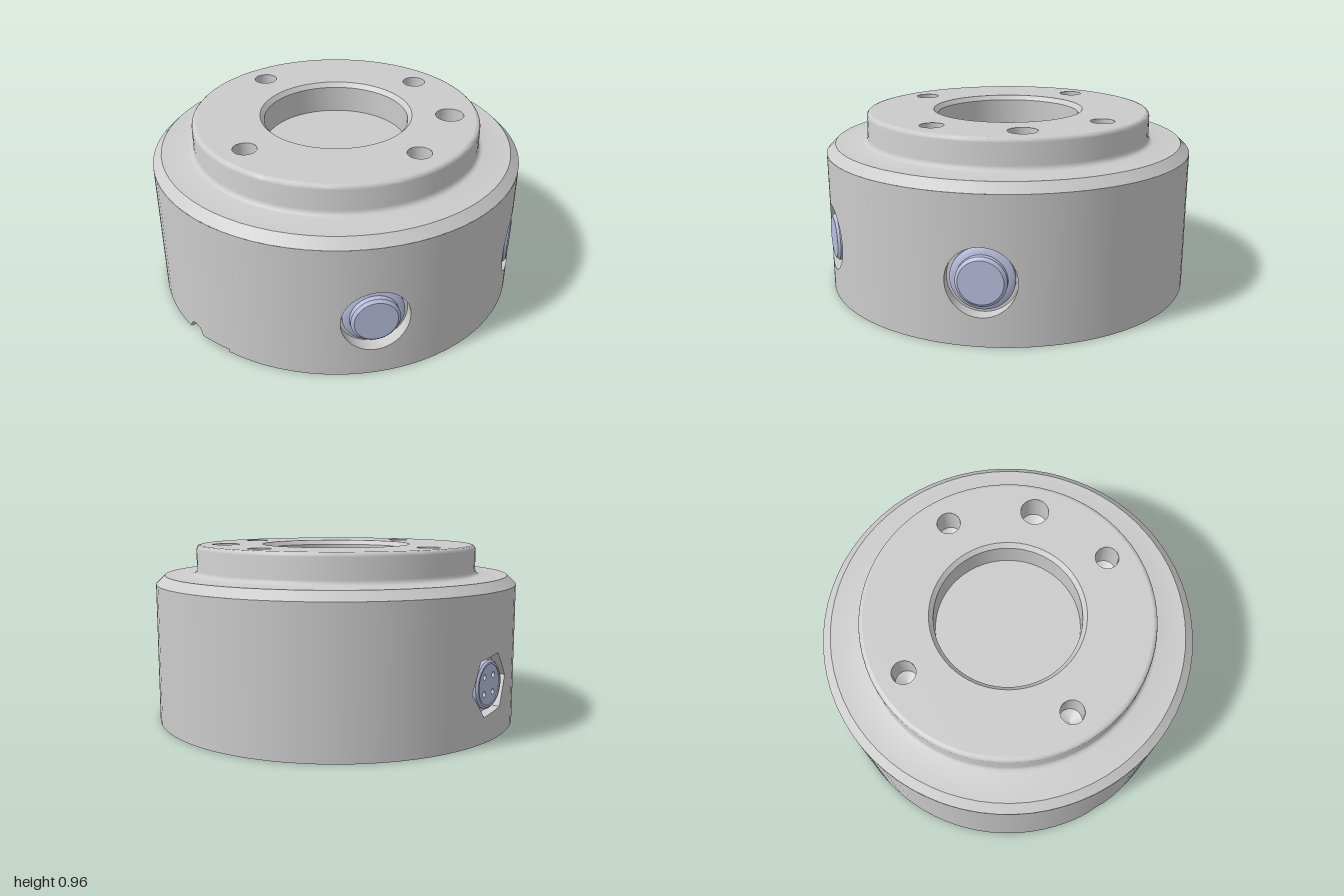
import * as THREE from 'three';
import { toCreasedNormals, mergeGeometries } from 'three/addons/utils/BufferGeometryUtils.js';

const grey = new THREE.MeshStandardMaterial({ color: 0xcccccc });
const greyThin = new THREE.MeshStandardMaterial({ color: 0xcccccc, side: THREE.DoubleSide });
const blue = new THREE.MeshStandardMaterial({ color: 0xb8bedd });
const dark = new THREE.MeshStandardMaterial({ color: 0x666a80 });

const WALL = 0.755;         // height of the outer wall
const HALF = 0.25;          // half width of a wall patch
const FLOOR = 0.035;        // underside of the base plate
const PLATE = 0.045;        // thickness of the base plate
const CEILING = 0.57;       // top of the inner cavity
const CHANNEL = 0.052;      // radius of the cable channel
const rad = THREE.MathUtils.degToRad;
const v2 = (p) => new THREE.Vector2(p[0], p[1]);
// point in a shape lying in the ground plane, azimuth measured from the front
const polar = (r, a) => new THREE.Vector2(r * Math.sin(a), -r * Math.cos(a));

function add(parent, name, geometry, material = grey) {
  const mesh = new THREE.Mesh(geometry, material);
  mesh.name = name;
  parent.add(mesh);
  return mesh;
}

function turned(points, segments = 72, start = 0, length = Math.PI * 2) {
  const g = new THREE.LatheGeometry(points.map(v2), segments, start, length);
  return toCreasedNormals(g, rad(35));
}

function circle(x, y, r) {
  return new THREE.Path().absarc(x, y, r, 0, Math.PI * 2, true);
}

// skin over rings of equal length, running outward and counter-clockwise
function loft(rings) {
  const n = rings[0].length, index = [];
  for (let k = 0; k < rings.length - 1; k++) {
    for (let i = 0; i < n - 1; i++) {
      const a = k * n + i, b = a + n;
      index.push(a, b, b + 1, a, b + 1, a + 1);
    }
  }
  const g = new THREE.BufferGeometry();
  g.setAttribute('position', new THREE.Float32BufferAttribute(rings.flat(2), 3));
  g.setIndex(index);
  g.computeVertexNormals();
  return g;
}

// piece of the cylinder wall around an opening of radius(angle)
function wallPatch(parent, name, azimuth, cy, radius, sweep, depth) {
  const group = new THREE.Group();
  group.name = name;
  group.rotation.y = azimuth;
  parent.add(group);
  const angles = [];
  for (let d = 0; d <= sweep; d += 4) angles.push(rad(d));
  for (const x of [-HALF, HALF]) for (const y of [-cy, WALL - cy]) {
    const a = (Math.atan2(y, x) + Math.PI * 2) % (Math.PI * 2);
    if (a > 0.01 && a < rad(sweep) - 0.01) angles.push(a);
  }
  angles.sort((a, b) => a - b);
  const ring = (k) => angles.map((a) => {
    const c = Math.cos(a), s = Math.sin(a);
    const toX = HALF / Math.max(Math.abs(c), 1e-6);
    const toY = (s > 0 ? WALL - cy : cy) / Math.max(Math.abs(s), 1e-6);
    const r = THREE.MathUtils.lerp(radius(a), Math.min(toX, toY), k);
    return [r * c, cy + r * s, Math.sqrt(1 - (r * c) ** 2)];
  });
  const skin = loft([0, 0.2, 0.4, 0.6, 0.8, 1].map(ring));
  const p = skin.attributes.position;
  for (let i = 0; i < p.count; i++) skin.attributes.normal.setXYZ(i, p.getX(i), 0, p.getZ(i));
  add(group, 'wallAroundOpening', skin);
  if (depth) {
    const rim = ring(0);
    const floor = rim.map(([x, y]) => [x, y, depth]);
    const centre = rim.map(() => [0, cy, depth]);
    add(group, 'pocket', toCreasedNormals(loft([centre, floor, rim]), rad(30)));
  }
  return group;
}

// turned part lying along the radial direction of its group
function radialPart(parent, name, profile, cy) {
  const g = turned(profile, 48);
  g.rotateX(Math.PI / 2);
  g.translate(0, cy, 0);
  return add(parent, name, g, blue);
}

function contactPins(parent, cy, depth) {
  for (let i = 0; i < 4; i++) {
    const a = i * Math.PI / 2;
    const pin = add(parent, 'contactPin', new THREE.BoxGeometry(0.045, 0.016, 0.08), blue);
    pin.position.set(0.075 * Math.sin(a), cy + 0.075 * Math.cos(a), depth);
    pin.rotation.z = a + Math.PI / 4;
  }
}

export function createModel() {
  const model = new THREE.Group();
  model.name = 'controlHousing';
  const buttons = [rad(31), rad(329)], back = Math.PI, notch = Math.PI * 1.5;
  const bolts = [1, 2, 3, 4, 6, 7, 8, 9].map((k) => notch + k * rad(36));

  // Shoulder, raised flange with rounded edges, and blind centre bore
  add(model, 'shoulderAndFlange', turned([[1, WALL], [0.952, 0.802], [0.803, 0.802], [0.789, 0.807],
    [0.781, 0.817], [0.778, 0.83], [0.778, 0.94], [0.775, 0.952], [0.767, 0.96], [0.755, 0.963]]));
  add(model, 'centreBore', turned([[0.412, 0.963], [0.39, 0.938], [0.39, 0.79], [0, 0.79]]));

  // Top face with drilled holes
  const top = new THREE.Shape().absarc(0, 0, 0.755, 0, Math.PI * 2, false);
  top.holes.push(circle(0, 0, 0.412));
  const drilled = [[0, 0.617, 0.063], [0, -0.617, 0.063], [0.617, 0, 0.063], [-0.617, 0, 0.063], [0.435, 0.435, 0.076]];
  for (const [x, z, r] of drilled) {
    top.holes.push(circle(x, -z, r));
    const hole = add(model, 'drilledHole', turned([[r, 0.963], [r, 0.8], [0, 0.76]], 32));
    hole.position.set(x, 0, z);
  }
  const topFace = new THREE.ShapeGeometry(top, 36);
  topFace.rotateX(-Math.PI / 2);
  add(model, 'topFace', topFace).position.y = 0.963;

  // Outer wall between the openings
  const half = Math.asin(HALF);
  const stops = [buttons[0], back, notch, buttons[1], buttons[0] + Math.PI * 2];
  const arcs = [];
  for (let i = 0; i < 4; i++) {
    const length = stops[i + 1] - stops[i] - 2 * half;
    const arc = new THREE.CylinderGeometry(1, 1, WALL, Math.ceil(length * 12), 1, true, stops[i] + half, length);
    arcs.push(arc.translate(0, WALL / 2, 0));
  }
  add(model, 'outerWall', mergeGeometries(arcs));

  // Rim lip under the wall, open at the cable notch
  add(model, 'bottomRim', turned([[0.97, FLOOR], [0.97, 0], [1, 0]], 72, notch + CHANNEL, Math.PI * 2 - 2 * CHANNEL));

  // Push buttons in round pockets
  for (const azimuth of buttons) {
    const g = wallPatch(model, 'buttonStation', azimuth, 0.325, () => 0.175, 360, 0.925);
    radialPart(g, 'pushButton', [[0.158, 0.92], [0.158, 0.94], [0.13, 0.958], [0.125, 0.958],
      [0.125, 0.985], [0.11, 0.998], [0, 0.998]], 0.325);
    radialPart(g, 'buttonBody', [[0, 0.55], [0.122, 0.55], [0.13, 0.558], [0.13, 0.63], [0.15, 0.635], [0.15, 0.65],
      [0.14, 0.655], [0.16, 0.66], [0.16, 0.675], [0.148, 0.68], [0.165, 0.685], [0.165, 0.72]], 0.325);
    contactPins(g, 0.325, 0.52);
  }

  // Round plug connector in a hexagonal pocket
  const hex = (a) => {
    const d = ((a - rad(8)) % rad(60) + rad(60)) % rad(60) - rad(30);
    return 0.168 * Math.cos(rad(30)) / Math.cos(d);
  };
  const cy = 0.29;
  const plug = wallPatch(model, 'connectorStation', back, cy, hex, 360, 0.945);
  const face = new THREE.Shape().absarc(0, 0, 0.105, 0, Math.PI * 2, false);
  for (let i = 0; i < 4; i++) {
    const a = rad(45 + 90 * i);
    face.holes.push(circle(0.062 * Math.cos(a), 0.062 * Math.sin(a), 0.015));
  }
  add(plug, 'connectorFace', new THREE.ExtrudeGeometry(face,
    { depth: 0.035, bevelEnabled: false, curveSegments: 20 }), blue).position.set(0, cy, 0.95);
  add(plug, 'socketBottom', new THREE.CircleGeometry(0.1, 24), dark).position.set(0, cy, 0.955);
  radialPart(plug, 'connectorCollar', [[0.125, 0.94], [0.125, 0.98], [0.115, 0.99], [0.105, 0.99], [0.105, 0.98]], cy);
  radialPart(plug, 'connectorBody', [[0, 0.62], [0.1, 0.62], [0.1, 0.66], [0.14, 0.66], [0.14, 0.72]], cy);

  // Cable notch and its arched channel across the base
  const exit = wallPatch(model, 'cableNotch', notch, 0, () => CHANNEL, 180, 0);
  const channel = new THREE.CylinderGeometry(CHANNEL, CHANNEL, 0.285, 16, 1, true, -Math.PI / 2, Math.PI);
  channel.rotateX(-Math.PI / 2);
  add(exit, 'cableChannel', channel, greyThin).position.z = 0.8525;
  add(exit, 'channelEnd', new THREE.CircleGeometry(CHANNEL, 16, 0, Math.PI), greyThin).position.z = 0.71;

  // Base plate with bolt holes, opening and channel slot
  const plate = new THREE.Shape().absarc(0, 0, 0.972, 0, Math.PI * 2, false);
  plate.holes.push(circle(0, 0, 0.627));
  for (const a of bolts) {
    const p = polar(0.79, a);
    plate.holes.push(circle(p.x, p.y, 0.038));
  }
  const slot = Math.sqrt(CHANNEL ** 2 - FLOOR ** 2);
  plate.holes.push(new THREE.Path([[-0.965, -slot], [-0.965, slot], [-0.71, slot], [-0.71, -slot]].map(v2)));
  const plateGeo = new THREE.ExtrudeGeometry(plate, { depth: PLATE, bevelEnabled: false, curveSegments: 36 });
  plateGeo.rotateX(-Math.PI / 2);
  add(model, 'basePlate', toCreasedNormals(plateGeo, rad(30))).position.y = FLOOR;

  // Cavity wall: round, with a flat pad behind each fitting and a pillar at each bolt
  const cavity = [];
  for (let i = 0; i < 360; i++) {
    const a = rad(i);
    let r = 0.9;
    for (const f of [...buttons, back]) {
      const c = Math.cos(a - f);
      if (c > 0 && Math.abs(Math.tan(a - f)) < 0.41) r = Math.min(r, 0.69 / c);
    }
    for (const b of bolts) {
      const side = 0.79 * Math.sin(a - b), c = Math.cos(a - b);
      if (c > 0 && Math.abs(side) < 0.07) r = Math.min(r, 0.79 * c - Math.sqrt(0.0049 - side * side));
    }
    cavity.push(polar(r, a));
  }
  const inner = new THREE.Shape().absarc(0, 0, 0.92, 0, Math.PI * 2, false);
  inner.holes.push(new THREE.Path(cavity));
  const base = FLOOR + PLATE + 0.001;
  const innerGeo = new THREE.ExtrudeGeometry(inner, { depth: CEILING - base, bevelEnabled: false, curveSegments: 36 });
  innerGeo.rotateX(-Math.PI / 2);
  add(model, 'cavityWall', toCreasedNormals(innerGeo, rad(30))).position.y = base;
  const ceiling = new THREE.CircleGeometry(0.92, 64);
  ceiling.rotateX(Math.PI / 2);
  add(model, 'cavityCeiling', ceiling).position.y = CEILING;

  return model;
}
